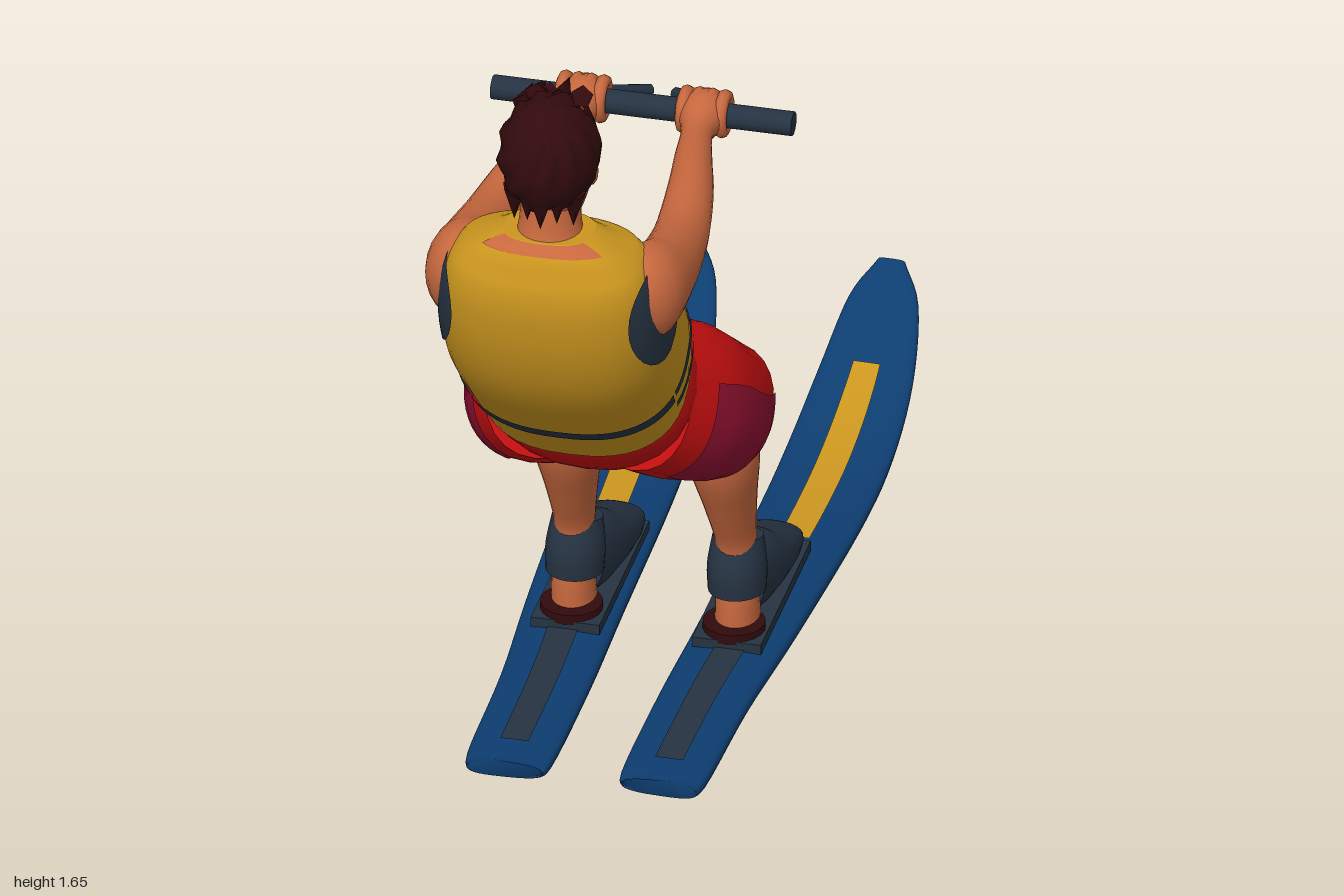
import * as THREE from 'three';

const mat = (name, color, side = THREE.FrontSide) => {
  const m = new THREE.MeshStandardMaterial({ color, side });
  m.name = name;
  return m;
};
const D = Math.PI / 180;

// Surface through elliptical sections [x, y, z, halfWidth, halfDepth]; n squares the outline
function surface(sections, n = 2) {
  const path = new THREE.CatmullRomCurve3(sections.map(s => new THREE.Vector3(s[0], s[1], s[2])), false, 'catmullrom', 0.5);
  const size = new THREE.CatmullRomCurve3(sections.map(s => new THREE.Vector3(s[3], s[4], 0)), false, 'catmullrom', 0.5);
  const last = sections.length - 1;
  const pw = v => Math.sign(v) * Math.pow(Math.abs(v), 2 / n);
  const at = (u, th, off = 0, k = 1) => {
    const t = THREE.MathUtils.clamp(u / last, 0, 1);
    const T = path.getTangent(t), r = size.getPoint(t);
    const S = new THREE.Vector3(1, 0, 0).addScaledVector(T, -T.x).normalize();
    const F = new THREE.Vector3().crossVectors(S, T);
    return path.getPoint(t)
      .addScaledVector(S, k * (r.x + off) * pw(Math.cos(th)))
      .addScaledVector(F, k * (r.y + off) * pw(Math.sin(th)));
  };
  return { at, last };
}

// Grid of points f(i, j), both 0..1; wrap joins the last column to the first
function grid(f, nu, nv, wrap = false, rows = null) {
  const pos = [], idx = [], cols = wrap ? nv : nv + 1;
  for (let i = 0; i <= nu; i++)
    for (let j = 0; j < cols; j++) pos.push(...f(i / nu, j / nv).toArray());
  for (let i = 0; i < nu; i++)
    for (let j = 0; j < nv; j++) {
      const a = i * cols + j, b = i * cols + (j + 1) % cols;
      idx.push(a, a + cols, b, b, a + cols, b + cols);
    }
  // flat end caps
  for (const [end, centre] of rows || []) {
    const base = pos.length / 3;
    for (let j = 0; j < nv; j++) pos.push(...f(end, j / nv).toArray());
    pos.push(...centre.toArray());
    for (let j = 0; j < nv; j++) {
      const a = base + j, b = base + (j + 1) % nv;
      end ? idx.push(a, base + nv, b) : idx.push(a, b, base + nv);
    }
  }
  const g = new THREE.BufferGeometry();
  g.setAttribute('position', new THREE.Float32BufferAttribute(pos, 3));
  g.setIndex(idx);
  g.computeVertexNormals();
  return g;
}
const solid = (s, nv = 24, step = 4) => grid((i, j) => s.at(i * s.last, j * 2 * Math.PI), s.last * step, nv, true,
  [[0, s.at(0, 0, 0, 0)], [1, s.at(s.last, 0, 0, 0)]]);
const patch = (s, u0, u1, a0, a1, off = 0.004, nu = 6, nv = 12) =>
  grid((i, j) => s.at(u0 + (u1 - u0) * i, (a0 + (a1 - a0) * j) * D, off), nu, nv);

export function createModel() {
  const skin = mat('skin', 0xc9693f), yellow = mat('vest yellow', 0xcb961f, THREE.DoubleSide),
    red = mat('shorts red', 0xc40f10), crimson = mat('shorts crimson', 0x8e1030, THREE.DoubleSide),
    blue = mat('ski blue', 0x0d3d70), dark = mat('dark slate', 0x263342, THREE.DoubleSide),
    hairMat = mat('dark brown hair', 0x320a0d, THREE.DoubleSide);
  const root = new THREE.Group();
  root.name = 'waterSkier';
  const add = (name, geo, m, x = 0, y = 0, z = 0) => {
    const mesh = new THREE.Mesh(geo, m);
    mesh.name = name;
    mesh.position.set(x, y, z);
    root.add(mesh);
    return mesh;
  };

  // Life vest
  const vest = surface([[0, .885, .60, .195, .165], [0, 1.0, .69, .212, .175], [0, 1.115, .805, .215, .16],
    [0, 1.235, .868, .205, .137], [0, 1.315, .885, .17, .105], [0, 1.36, .885, .085, .065]], 2.5);
  add('vest', solid(vest, 40, 6), yellow);
  add('backBelt', patch(vest, .8, 1.12, 22, 158, .004, 4, 30), dark);
  for (const u of [.5, .95]) {
    add('frontBuckle', patch(vest, u, u + .2, -114, -66), dark);
    for (const [a, b] of [[-58, -30], [-18, 20]]) {
      add('leftBeltDash', patch(vest, u, u + .2, a, b), dark);
      add('rightBeltDash', patch(vest, u, u + .2, 180 - b, 180 - a), dark);
    }
  }
  add('zip', patch(vest, .1, 2.3, -95, -85, .004, 14, 4), dark);
  add('chestStrap', patch(vest, 2.05, 2.3, -118, -62), dark);
  add('neckOpening', grid((i, j) => vest.at(3.7 + 1.3 * i, -Math.PI / 2 + (j * 2 - 1) * (.04 + .55 * i), .003), 8, 8), skin);
  add('napeOpening', patch(vest, 4.5, 5, 35, 145, .003), skin);

  // Shorts
  add('shortsSeat', solid(surface([[0, .93, .62, .18, .14], [0, .84, .555, .2, .155],
    [0, .76, .50, .17, .13], [0, .72, .46, .07, .07]], 2.3)), red);

  // Head
  add('neck', solid(surface([[0, 1.3, .885, .09, .085], [0, 1.36, .88, .06, .062], [0, 1.45, .87, .055, .06]])), skin);
  add('head', solid(surface([[0, 1.372, .825, .03, .028], [0, 1.4, .842, .056, .055], [0, 1.46, .865, .073, .08],
    [0, 1.53, .875, .08, .087], [0, 1.6, .885, .06, .07]], 2.2)), skin);
  const nose = add('nose', new THREE.ConeGeometry(.015, .05, 8), skin, 0, 1.488, .788);
  nose.rotation.x = -.3;
  for (const s of [-1, 1]) add('ear', new THREE.SphereGeometry(1, 10, 8), skin, s * .079, 1.485, .88).scale.set(.012, .026, .018);

  // Tousled hair: a cap tilted back, with a ragged rim and uneven locks
  const hair = grid((i, j) => {
    const th = j * 2 * Math.PI, k = Math.round(j * 30);
    const ph = i * (104 + (i > .95 ? (k % 3) * 6 - 4 : 0)) * D;
    const r = 1 + (i > .1 ? .035 * Math.sin(k * 2.1 + i * 9) + .02 * Math.sin(k * 4.3 - i * 17) : 0);
    return new THREE.Vector3(r * Math.sin(ph) * Math.sin(th), r * Math.cos(ph), r * Math.sin(ph) * Math.cos(th));
  }, 10, 30, true);
  hair.rotateX(36 * D).scale(.094, .113, .112).computeVertexNormals();
  add('hair', hair, hairMat, 0, 1.52, .884);
  for (let i = 0; i < 6; i++) {
    const x = -.055 + i * .022;
    const lock = add('fringeLock', new THREE.ConeGeometry(.022, .075, 5), hairMat, x, 1.602 + (i % 2) * .012, .806 + Math.abs(x) * .35);
    lock.rotation.x = -1.5 - (i % 3) * .25;
  }
  for (let i = 0; i < 5; i++) {
    const x = -.056 + i * .028;
    const lock = add('napeLock', new THREE.ConeGeometry(.024, .07, 5), hairMat, x, 1.43 + (i % 2) * .008, .958 - Math.abs(x) * .5);
    lock.rotation.x = Math.PI;
  }

  // Tow handle
  const bar = add('handleBar', new THREE.CylinderGeometry(.023, .023, .57, 12), dark, 0, 1.2, .155);
  bar.rotation.z = Math.PI / 2;

  for (const s of [-1, 1]) {
    const side = s > 0 ? 'left' : 'right';
    const mir = list => list.map(([x, ...rest]) => [x * s, ...rest]);
    const put = (name, geo, m, x = 0, y = 0, z = 0) => add(side + name, geo, m, x * s, y, z);
    const strip = (f, u0, u1, a, b, off) => s > 0 ? patch(f, u0, u1, a, b, off) : patch(f, u0, u1, 180 - b, 180 - a, off);

    // Armhole trim, arm and fist
    put('Armhole', grid((i, j) => vest.at(2.85 + .85 * i * Math.cos(j * 2 * Math.PI),
      (s > 0 ? 0 : Math.PI) + .72 * i * Math.sin(j * 2 * Math.PI), .004), 8, 32), dark);
    put('Arm', solid(surface(mir([[.15, 1.22, .925, .03, .05], [.17, 1.222, .86, .07, .093], [.182, 1.205, .75, .06, .078],
      [.178, 1.195, .6, .052, .055], [.16, 1.2, .45, .044, .05], [.135, 1.2, .32, .035, .038], [.12, 1.2, .23, .03, .03],
      [.115, 1.2, .16, .046, .046], [.115, 1.195, .108, .035, .03]]))), skin);
    for (let i = 0; i < 4; i++) {
      const finger = put('Finger', new THREE.TorusGeometry(.033, .013, 8, 16), skin, .079 + i * .024, 1.2, .15);
      finger.rotation.y = Math.PI / 2;
    }
    put('Bridle', new THREE.TubeGeometry(new THREE.LineCurve3(new THREE.Vector3(s * .13, 1.195, .125),
      new THREE.Vector3(s * .025, 1.14, 0)), 1, .012, 8), dark);

    // Shorts leg with a darker outer panel
    const leg = surface(mir([[.09, .82, .55, .11, .14], [.125, .755, .44, .135, .15], [.155, .685, .34, .125, .135],
      [.165, .64, .24, .105, .115]]), 2.3);
    put('ShortsLeg', solid(leg), red);
    put('ShortsPanel', strip(leg, .5, 3, -75, 12, .003), crimson);

    // Bare leg and heel
    put('Leg', solid(surface(mir([[.16, .72, .36, .08, .08], [.155, .70, .25, .075, .075], [.15, .645, .18, .068, .074],
      [.15, .56, .165, .058, .06], [.148, .46, .135, .066, .073], [.15, .35, .095, .05, .06],
      [.153, .24, .06, .038, .045], [.155, .13, .06, .04, .05], [.155, .075, .055, .042, .055]]))), skin);

    // Binding: ankle cuff, toe cover and foot plate
    put('Cuff', solid(surface(mir([[.154, .135, .055, .054, .062], [.153, .185, .052, .055, .066], [.152, .24, .04, .047, .054]]))), dark);
    put('Boot', solid(surface(mir([[.153, .145, .035, .05, .075], [.152, .13, -.03, .06, .077], [.151, .11, -.1, .067, .058],
      [.15, .09, -.18, .066, .042], [.15, .073, -.25, .055, .026], [.15, .065, -.275, .03, .012]]), 2.3)), dark);
    put('FootPlate', new THREE.BoxGeometry(.13, .02, .39), dark, .153, .054, -.06);
    put('Footbed', new THREE.CylinderGeometry(.058, .058, .02, 20), hairMat, .154, .068, .08);

    // Ski with upturned tip, tread and stripe
    const ski = surface(mir([[.145, .036, .63, .06, .014], [.146, .034, .6, .08, .018], [.15, .028, .3, .085, .02],
      [.165, .023, 0, .092, .021], [.18, .021, -.4, .1, .02], [.186, .042, -.62, .1, .019],
      [.19, .1, -.8, .09, .018], [.192, .185, -.93, .066, .016], [.193, .238, -.99, .025, .012]]), 3);
    put('Ski', solid(ski, 32, 5), blue);
    put('SkiStripe', patch(ski, 3.72, 6.1, 81.5, 98.5, .003, 14, 2), yellow);
    put('SkiTread', patch(ski, 1.2, 2.6, 80, 100, .003, 8, 2), dark);
  }
  return root;
}
